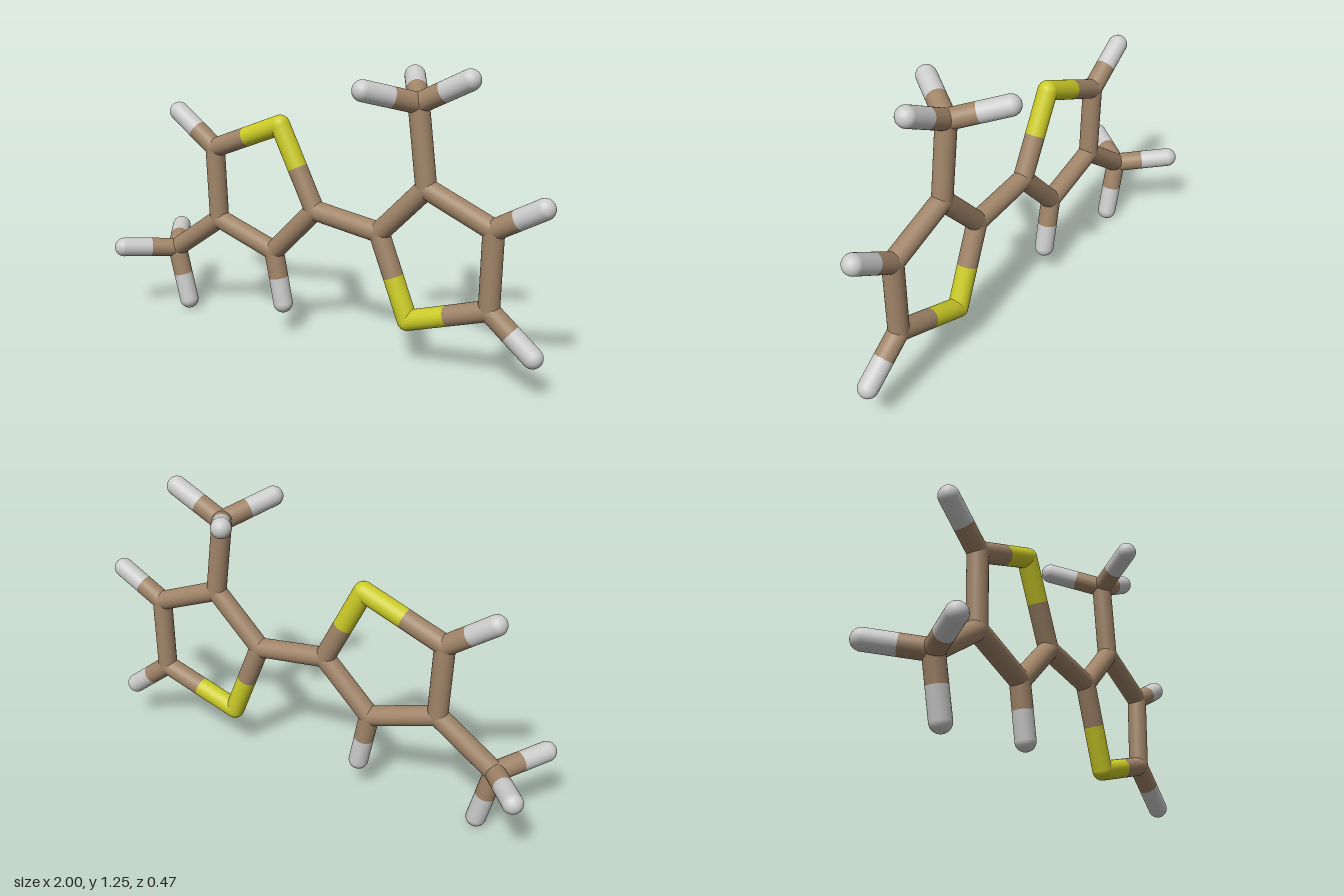
import * as THREE from 'three';

const RADIUS = 0.042;
const MATERIALS = {
  carbon: new THREE.MeshStandardMaterial({ color: 0xa08468 }),
  sulfur: new THREE.MeshStandardMaterial({ color: 0xcccc28 }),
  hydrogen: new THREE.MeshStandardMaterial({ color: 0xcccccc }),
};

// Each atom: element and position
const ATOMS = {
  // left ring
  sulfurA: ['sulfur', -0.222, 0.93, 0],
  a1: ['carbon', -0.573, 0.785, 0],
  a2: ['carbon', -0.56, 0.465, 0],
  a3: ['carbon', -0.262, 0.372, 0],
  a4: ['carbon', -0.05, 0.59, 0],
  // right ring
  b1: ['carbon', 0.262, 0.552, 0],
  b2: ['carbon', 0.47, 0.768, 0],
  b3: ['carbon', 0.76, 0.653, 0],
  b4: ['carbon', 0.755, 0.328, 0],
  sulfurB: ['sulfur', 0.4, 0.205, 0],
  // side groups
  methylA: ['carbon', -0.815, 0.282, 0],
  methylB: ['carbon', 0.428, 1.095, 0],
  // hydrogens
  hA1: ['hydrogen', -0.77, 0.922, 0],
  hA3: ['hydrogen', -0.217, 0.142, 0],
  hB3: ['hydrogen', 0.956, 0.767, 0],
  hB4: ['hydrogen', 0.942, 0.18, 0],
  hMethylA1: ['hydrogen', -0.755, 0.042, 0],
  hMethylA2: ['hydrogen', -0.958, 0.31, 0.195],
  hMethylA3: ['hydrogen', -0.958, 0.31, -0.195],
  hMethylB1: ['hydrogen', 0.64, 1.205, 0],
  hMethylB2: ['hydrogen', 0.3, 1.16, 0.195],
  hMethylB3: ['hydrogen', 0.3, 1.16, -0.195],
};

const BONDS = [
  // rings and the link between them
  ['sulfurA', 'a1'], ['a1', 'a2'], ['a2', 'a3'], ['a3', 'a4'], ['a4', 'sulfurA'],
  ['a4', 'b1'],
  ['b1', 'b2'], ['b2', 'b3'], ['b3', 'b4'], ['b4', 'sulfurB'], ['sulfurB', 'b1'],
  // side groups
  ['a2', 'methylA'], ['b2', 'methylB'],
  // hydrogens
  ['a1', 'hA1'], ['a3', 'hA3'], ['b3', 'hB3'], ['b4', 'hB4'],
  ['methylA', 'hMethylA1'], ['methylA', 'hMethylA2'], ['methylA', 'hMethylA3'],
  ['methylB', 'hMethylB1'], ['methylB', 'hMethylB2'], ['methylB', 'hMethylB3'],
];

const position = (name) => new THREE.Vector3(...ATOMS[name].slice(1));

// Open tube from one point to another
function stick(from, to, element) {
  const span = to.clone().sub(from);
  const geometry = new THREE.CylinderGeometry(RADIUS, RADIUS, span.length(), 32, 1, true);
  const mesh = new THREE.Mesh(geometry, MATERIALS[element]);
  mesh.position.copy(from).addScaledVector(span, 0.5);
  mesh.quaternion.setFromUnitVectors(new THREE.Vector3(0, 1, 0), span.normalize());
  mesh.name = `${element}HalfBond`;
  return mesh;
}

export function createModel() {
  const model = new THREE.Group();
  model.name = 'stickMolecule';

  // Round joints and tips
  const ball = new THREE.SphereGeometry(RADIUS, 32, 20);
  const atoms = new THREE.Group();
  atoms.name = 'atoms';
  for (const [name, [element]] of Object.entries(ATOMS)) {
    const mesh = new THREE.Mesh(ball, MATERIALS[element]);
    mesh.position.copy(position(name));
    mesh.name = `${element}Atom`;
    atoms.add(mesh);
  }

  // Bonds, each half coloured by its own atom
  const bonds = new THREE.Group();
  bonds.name = 'bonds';
  for (const [a, b] of BONDS) {
    const start = position(a);
    const end = position(b);
    const middle = start.clone().lerp(end, 0.5);
    bonds.add(stick(start, middle, ATOMS[a][0]), stick(middle, end, ATOMS[b][0]));
  }

  model.add(atoms, bonds);
  return model;
}
